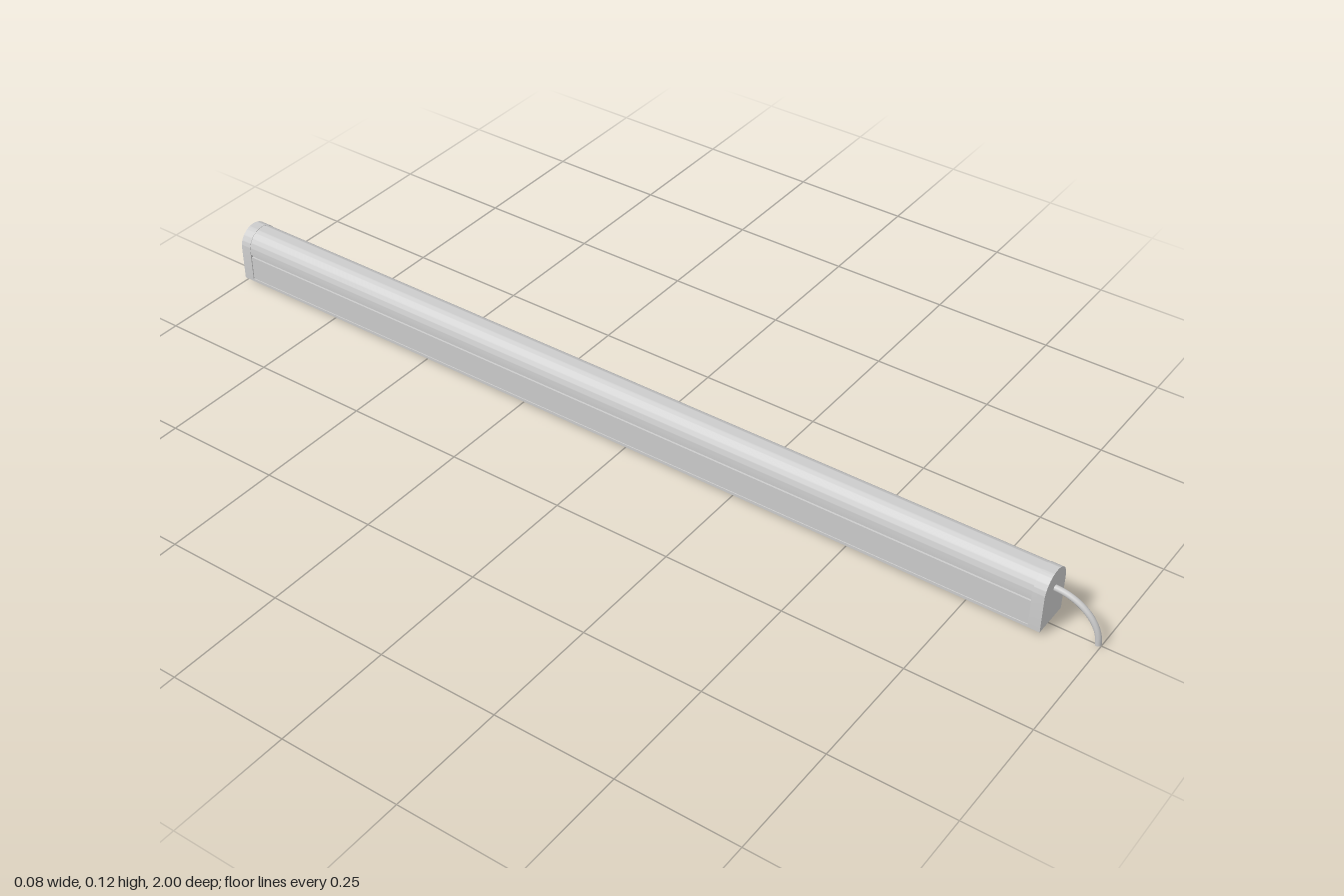
import * as THREE from 'three';
import { toCreasedNormals } from 'three/addons/utils/BufferGeometryUtils.js';

const BACK = -1, FRONT = 0.9, CAP = 0.024;
const BOTTOM = 0.007, ARCH_Y = 0.083;

export function createModel() {
  const model = new THREE.Group();
  const material = new THREE.MeshStandardMaterial({ color: 0xcccccc });

  function add(name, geometry) {
    const mesh = new THREE.Mesh(geometry, material);
    mesh.name = name;
    model.add(mesh);
    return mesh;
  }

  // Extrude a cross-section along z between two positions
  function addProfile(name, shape, z0, z1) {
    const geometry = new THREE.ExtrudeGeometry(shape, { depth: z1 - z0, bevelEnabled: false, curveSegments: 32 });
    geometry.translate(0, 0, z0);
    return add(name, toCreasedNormals(geometry, 0.5));
  }

  // Straight sides closed by a half-round top
  function archShape(radius, bottom) {
    const shape = new THREE.Shape();
    shape.moveTo(-radius, bottom);
    shape.lineTo(radius, bottom);
    shape.lineTo(radius, ARCH_Y);
    shape.absarc(0, ARCH_Y, radius, 0, Math.PI, false);
    shape.closePath();
    return shape;
  }

  // Mirrored channel section: lower lip, recessed side panel, narrow neck
  const half = [[0.04, BOTTOM], [0.04, 0.013], [0.038, 0.013], [0.038, 0.066], [0.034, 0.066], [0.034, 0.073]];
  const mirrored = half.map(([x, y]) => [-x, y]).reverse();
  const channel = new THREE.Shape([...half, ...mirrored].map(([x, y]) => new THREE.Vector2(x, y)));

  const innerBack = BACK + CAP, innerFront = FRONT - CAP;
  addProfile('housing', channel, innerBack, innerFront);
  addProfile('lens', archShape(0.0392, 0.073), innerBack, innerFront);
  addProfile('backEndCap', archShape(0.04, BOTTOM), BACK, innerBack);
  addProfile('frontEndCap', archShape(0.04, BOTTOM), innerFront, FRONT);

  // Cable leaving the front cap and drooping to the ground
  const r = 0.006, reach = 0.1 - r;
  const points = [new THREE.Vector3(0, ARCH_Y, FRONT - 0.01)];
  for (let i = 0; i <= 8; i++) {
    const a = (i / 8) * Math.PI / 2;
    points.push(new THREE.Vector3(0, ARCH_Y * Math.cos(a), FRONT + reach * Math.sin(a)));
  }
  add('cable', new THREE.TubeGeometry(new THREE.CatmullRomCurve3(points), 32, r, 16));
  const tip = add('cableEnd', new THREE.CircleGeometry(r, 16));
  tip.rotation.x = Math.PI / 2;
  tip.position.set(0, 0, FRONT + reach);

  return model;
}
